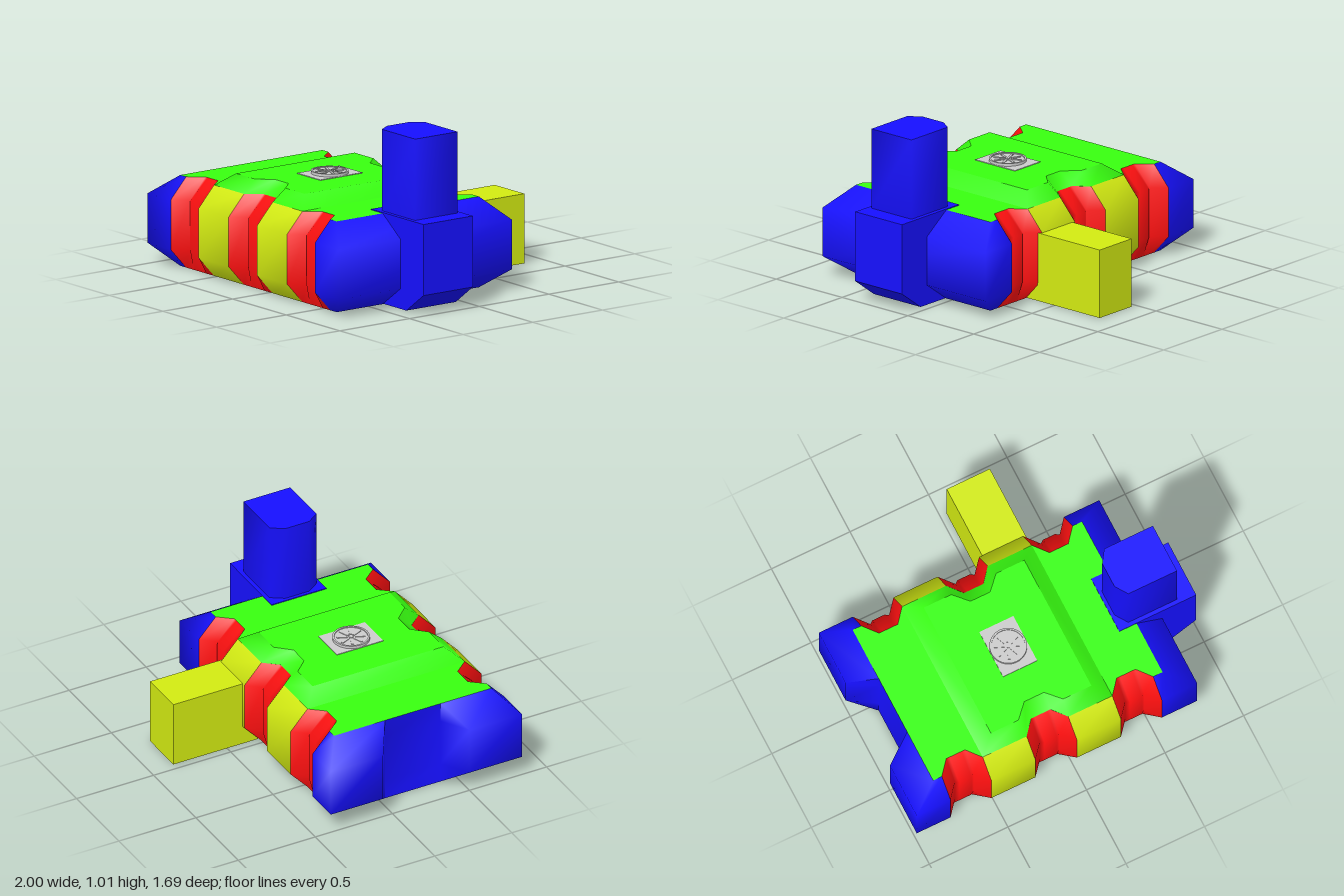
import * as THREE from 'three';

const mat = (color) => new THREE.MeshStandardMaterial({ color, side: THREE.DoubleSide });
const BLUE = mat(0x1610ff), RED = mat(0xff1010), YELLOW = mat(0xd2ea12);
const GREEN = mat(0x38ff10), GREY = mat(0xcccccc);

// Body levels and the front/back lines of the wall
const Y = [0, 0.12, 0.41, 0.53], ROOF = 0.603;
const FRONT = { inner: 0.73, outer: 0.84, sign: 1 };
const BACK = { inner: -0.29, outer: -0.4, sign: -1 };

export function createModel() {
  const group = new THREE.Group();

  const add = (name, geometry, material) => {
    const mesh = new THREE.Mesh(geometry, material);
    mesh.name = name;
    group.add(mesh);
    return mesh;
  };

  // Smooth skin over columns of points (each from bottom to top)
  const skin = (columns, closed = false) => {
    const n = columns.length, h = columns[0].length, index = [];
    for (let i = 0; i < (closed ? n : n - 1); i++) {
      for (let j = 0; j < h - 1; j++) {
        const a = i * h + j, b = ((i + 1) % n) * h + j;
        index.push(a, b, b + 1, a, b + 1, a + 1);
      }
    }
    const geo = new THREE.BufferGeometry();
    geo.setAttribute('position', new THREE.Float32BufferAttribute(columns.flat(2), 3));
    geo.setIndex(index);
    geo.computeVertexNormals();
    return geo;
  };

  // Flat horizontal face through [x, z] points
  const cap = (points, y) => {
    const shape = new THREE.Shape(points.map(([x, z]) => new THREE.Vector2(x, -z)));
    return new THREE.ShapeGeometry(shape).rotateX(-Math.PI / 2).translate(0, y, 0);
  };

  const box = (x0, x1, y0, y1, z0, z1) =>
    new THREE.BoxGeometry(x1 - x0, y1 - y0, z1 - z0)
      .translate((x0 + x1) / 2, (y0 + y1) / 2, (z0 + z1) / 2);

  // Wall section; point = [inner x, inner z, outer x, outer z, floor z]
  const roofOutline = [];
  const wall = (name, points, material) => {
    const columns = points.map(([xi, zi, xo, zo, zf = zi]) =>
      [[xi, Y[0], zf], [xo, Y[1], zo], [xo, Y[2], zo], [xi, Y[3], zi]]);
    points.forEach(([x, z]) => {
      const last = roofOutline[roofOutline.length - 1];
      if (!last || last[0] !== x || last[1] !== z) roofOutline.push([x, z]);
    });
    add(name, skin(columns), material);
  };

  // Alternating recessed and full bays along one long side
  const X = [-0.785, -0.525, -0.245, 0.02, 0.3, 0.56];
  const side = (label, line) => {
    const xs = line.sign > 0 ? X : [...X].reverse();
    for (let i = 0; i < 5; i++) {
      const a = xs[i], b = xs[i + 1], { inner, outer, sign } = line;
      if (i % 2) {
        wall(label + 'FullBay', [a, b].map((x) => [x, inner, x, outer]), YELLOW);
      } else {
        const profile = [[0, 0, 0], [0.27, 0.085, 0.085], [0.35, 0.085, 0.07],
          [0.65, 0.085, 0.07], [0.73, 0.085, 0.085], [1, 0, 0]];
        wall(label + 'RecessedBay', profile.map(([t, di, dо]) => {
          const x = a + (b - a) * t;
          return [x, inner - sign * di, x, outer - sign * dо, inner];
        }), RED);
      }
    }
  };

  // Walls, running counterclockwise seen from above
  side('front', FRONT);
  wall('rightEndWall', [
    [0.56, 0.73, 0.56, 0.84], [0.62, 0.73, 0.785, 0.84],
    [0.62, -0.29, 0.785, -0.4], [0.56, -0.29, 0.56, -0.4],
  ], BLUE);
  side('back', BACK);
  wall('leftEndWall', [
    [-0.785, -0.29, -0.785, -0.4], [-0.84, -0.29, -1, -0.4],
    [-0.84, 0.04, -1, -0.06], [-0.84, 0.04, -0.84, 0.04],
    [-0.84, 0.4, -0.84, 0.4], [-0.84, 0.4, -1, 0.5],
    [-0.84, 0.73, -1, 0.84], [-0.785, 0.73, -0.785, 0.84],
  ], BLUE);

  // Floor and roof deck
  add('floor', cap([[-0.84, -0.29], [0.62, -0.29], [0.62, 0.73], [-0.84, 0.73]], 0), GREY);
  roofOutline.pop();
  add('roofDeck', cap(roofOutline, Y[3]), GREEN);

  // Raised middle of the roof, following the central recesses: [x, depth, top x, top depth]
  const half = [[-0.525, 0, -0.43, 0.085], [-0.245, 0, -0.255, 0.085],
    [-0.175, 0.085, -0.175, 0.17], [-0.05, 0.085, -0.05, 0.17],
    [0.02, 0, 0.03, 0.085], [0.3, 0, 0.21, 0.085]];
  const raised = [
    ...half.map(([x, d, tx, td]) => [[x, Y[3], 0.73 - d], [tx, ROOF, 0.73 - td]]),
    ...[...half].reverse().map(([x, d, tx, td]) => [[x, Y[3], -0.29 + d], [tx, ROOF, -0.29 + td]]),
  ];
  add('raisedRoofSlopes', skin(raised, true), GREEN);
  add('raisedRoofTop', cap(raised.map((c) => [c[1][0], c[1][2]]), ROOF), GREEN);

  // Tunnel out of the back
  add('backTunnel', box(0.04, 0.315, 0.003, Y[2], -0.85, -0.3), YELLOW);

  // Block on the right end with a sloped lower edge
  const profile = new THREE.Shape([[0.51, 0.45], [0.6, 0.003], [0.84, 0.003], [1, 0.12], [1, 0.535], [0.51, 0.535]]
    .map(([x, y]) => new THREE.Vector2(x, y)));
  add('towerBase', new THREE.ExtrudeGeometry(profile, { depth: 0.355, bevelEnabled: false })
    .translate(0, 0, 0.045), BLUE);

  // Tower with two cut corners
  const tower = [[0.53, 0.3], [0.58, 0.375], [0.89, 0.375], [0.89, 0.07], [0.58, 0.07], [0.53, 0.145]];
  add('tower', skin(tower.map(([x, z]) => [[x, 0.53, z], [x, 1.01, z]]), true), BLUE);
  add('towerTop', cap(tower, 1.01), BLUE);

  // Roof fan: plate, drum, rim, hub and blades
  const fx = -0.107, fz = 0.222;
  add('fanPlate', box(-0.215, 0.002, 0.6, 0.607, 0.07, 0.372), GREY);
  add('fanDrum', new THREE.CylinderGeometry(0.1, 0.1, 0.012, 32).translate(fx, 0.611, fz), GREY);
  const rim = new THREE.Shape().absarc(0, 0, 0.107, 0, Math.PI * 2);
  rim.holes.push(new THREE.Path().absarc(0, 0, 0.096, 0, Math.PI * 2));
  add('fanRim', new THREE.ExtrudeGeometry(rim, { depth: 0.018, bevelEnabled: false, curveSegments: 24 })
    .rotateX(-Math.PI / 2).translate(fx, 0.605, fz), GREY);
  add('fanHub', new THREE.CylinderGeometry(0.014, 0.014, 0.01, 16).translate(fx, 0.618, fz), GREY);
  for (let i = 0; i < 8; i++) {
    add('fanBlade', new THREE.BoxGeometry(0.06, 0.006, 0.014).translate(0.052, 0, 0)
      .rotateY((i + 0.5) * Math.PI / 4).translate(fx, 0.618, fz), GREY);
  }

  return group;
}
